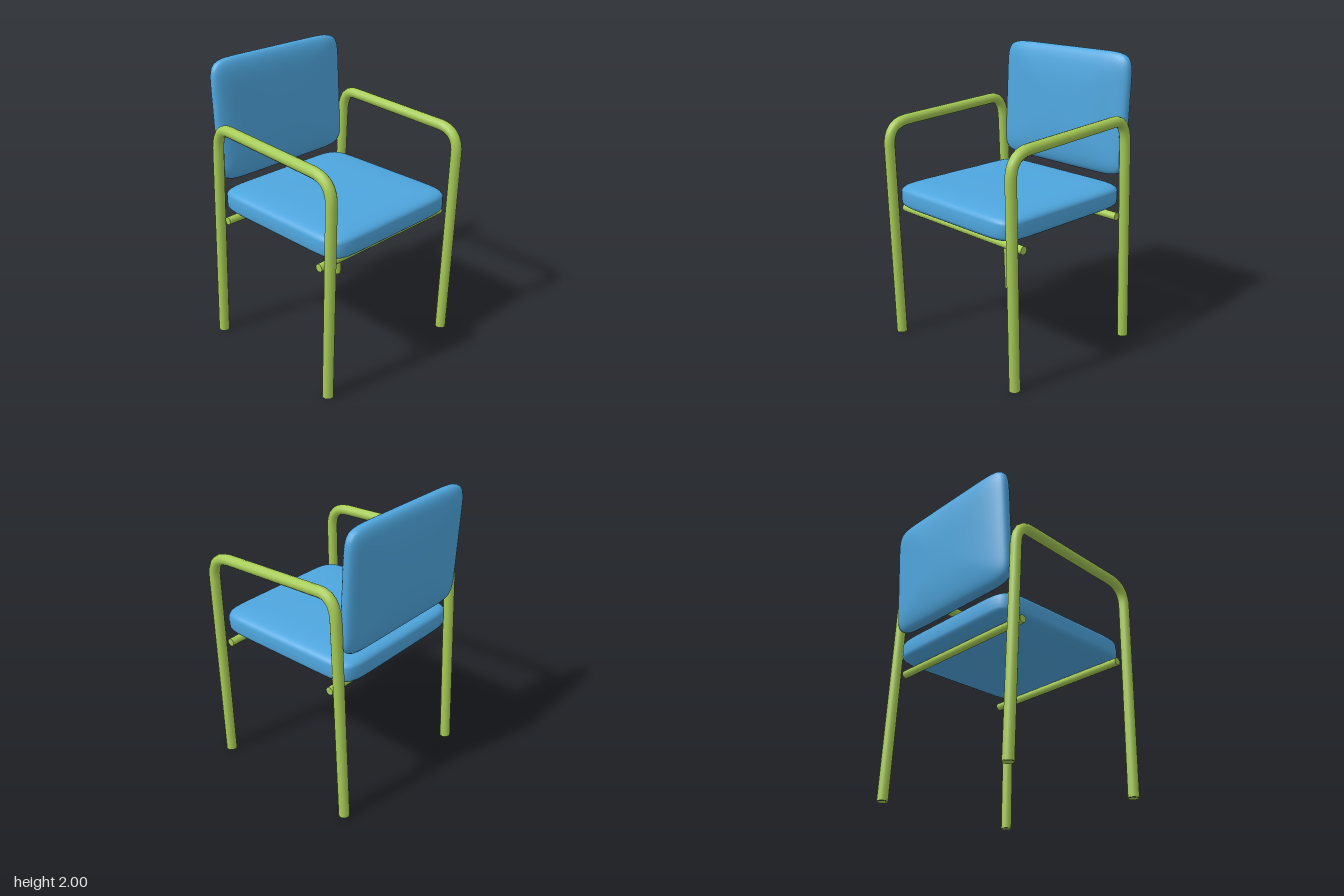
import * as THREE from 'three';
import { mergeVertices } from 'three/addons/utils/BufferGeometryUtils.js';

const TUBE_X = 0.578;
const TUBE_R = 0.037;

// Puffy cushion: a sphere squared off in plan, with a rounded edge profile (y is the thickness).
function cushionGeometry(width, thickness, depth, edge) {
  const corner = 10;
  const geo = new THREE.SphereGeometry(1, 128, 28);
  geo.deleteAttribute('uv');
  geo.deleteAttribute('normal');
  const pos = geo.attributes.position;
  for (let i = 0; i < pos.count; i++) {
    const x = pos.getX(i), y = pos.getY(i), z = pos.getZ(i);
    const s = Math.hypot(x, z);
    const h = Math.sign(y) * Math.pow(Math.abs(y), 2 / edge);
    let k = 0;
    if (s > 1e-6) {
      const norm = Math.pow(Math.abs(x) ** corner + Math.abs(z) ** corner, 1 / corner);
      k = Math.pow(s, 2 / edge) / norm;
    }
    pos.setXYZ(i, x * k * width / 2, h * thickness / 2, z * k * depth / 2);
  }
  const merged = mergeVertices(geo, 1e-5);
  merged.computeVertexNormals();
  return merged;
}

// Side frame path: up the front leg, along the armrest, down the rear leg.
function framePath() {
  const p = (z, y) => new THREE.Vector3(0, y, z);
  const path = new THREE.CurvePath();
  path.add(new THREE.LineCurve3(p(0.545, 0.001), p(0.58, 1.38)));
  path.add(new THREE.QuadraticBezierCurve3(p(0.58, 1.38), p(0.583, 1.53), p(0.43, 1.54)));
  path.add(new THREE.LineCurve3(p(0.43, 1.54), p(-0.35, 1.578)));
  path.add(new THREE.QuadraticBezierCurve3(p(-0.35, 1.578), p(-0.467, 1.585), p(-0.475, 1.42)));
  path.add(new THREE.LineCurve3(p(-0.475, 1.42), p(-0.543, 0.001)));
  return path;
}

export function createModel() {
  const model = new THREE.Group();
  model.name = 'armchair';

  const fabric = new THREE.MeshStandardMaterial({ color: 0x4ea6de });
  fabric.name = 'blue fabric';
  const paint = new THREE.MeshStandardMaterial({ color: 0xa6cb55 });
  paint.name = 'green paint';

  const add = (parent, name, geo, mat, x, y, z) => {
    const mesh = new THREE.Mesh(geo, mat);
    mesh.name = name;
    mesh.position.set(x, y, z);
    parent.add(mesh);
    return mesh;
  };

  // Cushions
  add(model, 'seat', cushionGeometry(1.1, 0.2, 1.125, 4.5), fabric, 0, 1.04, 0.0225);
  const backGeo = cushionGeometry(1.116, 0.166, 0.83, 2.7).rotateX(Math.PI / 2);
  add(model, 'backrest', backGeo, fabric, 0, 1.585, -0.518).rotation.x = -0.045;

  // Bent tube frames with closed feet
  const tubeGeo = new THREE.TubeGeometry(framePath(), 110, TUBE_R, 12, false);
  const footGeo = new THREE.CircleGeometry(TUBE_R, 12).rotateX(Math.PI / 2);
  for (const [side, sx] of [['left', 1], ['right', -1]]) {
    const frame = new THREE.Group();
    frame.name = side + 'Frame';
    frame.position.x = sx * TUBE_X;
    add(frame, 'legsAndArmrest', tubeGeo, paint, 0, 0, 0);
    add(frame, 'frontFoot', footGeo, paint, 0, 0, 0.545);
    add(frame, 'rearFoot', footGeo, paint, 0, 0, -0.543);
    model.add(frame);
  }

  // Crossbars under the seat
  const barGeo = new THREE.CylinderGeometry(0.027, 0.027, 1.156, 12).rotateZ(Math.PI / 2);
  add(model, 'frontCrossbar', barGeo, paint, 0, 0.92, 0.47);
  add(model, 'rearCrossbar', barGeo, paint, 0, 0.92, -0.42);

  return model;
}
